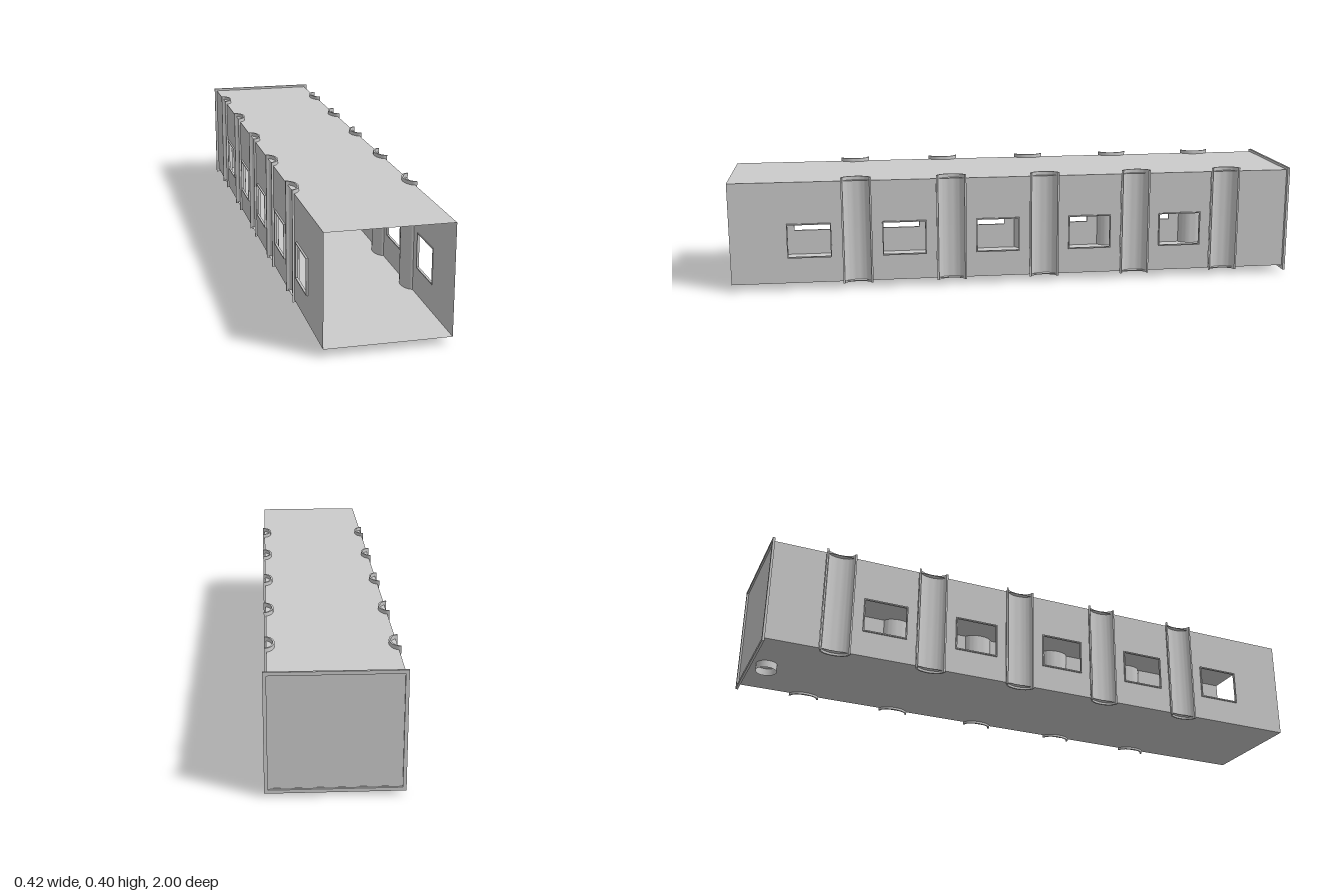
import * as THREE from 'three';
import { toCreasedNormals } from 'three/addons/utils/BufferGeometryUtils.js';

const material = new THREE.MeshStandardMaterial({ color: 0xcccccc, side: THREE.DoubleSide });

const FLOOR = 0.025, ROOF = 0.384, HALF = 0.199, OFFSET = -0.002;
const SPACING = 0.331, BAY_HALF = 0.0525;
const columnZ = [0, 1, 2, 3, 4].map((i) => 0.562 - i * SPACING);
const windowZ = [0, 1, 2, 3, 4].map((i) => 0.728 - i * SPACING);

function add(parent, name, geometry, x = 0, y = 0, z = 0) {
  const mesh = new THREE.Mesh(geometry, material);
  mesh.name = name;
  mesh.position.set(x, y, z);
  parent.add(mesh);
  return mesh;
}

// Rectangle from corner to corner, optionally as a hole path
function rect(a0, b0, a1, b1, Type = THREE.Shape) {
  const p = new Type();
  p.moveTo(a0, b0);
  p.lineTo(a1, b0);
  p.lineTo(a1, b1);
  p.lineTo(a0, b1);
  p.closePath();
  return p;
}

// Upright half-elliptical channel, open towards +x and bulging towards -x
function channelGeometry(depth, halfWidth, thickness, height) {
  const points = [];
  const steps = 20;
  const arc = (d, w, t) => new THREE.Vector2(-d * Math.sin(t), w * Math.cos(t));
  for (let i = 0; i <= steps; i++) points.push(arc(depth, halfWidth, (Math.PI * i) / steps));
  for (let i = steps; i >= 0; i--) {
    points.push(arc(depth - thickness, halfWidth - thickness, (Math.PI * i) / steps));
  }
  const geometry = new THREE.ExtrudeGeometry(new THREE.Shape(points), { depth: height, bevelEnabled: false });
  geometry.rotateX(-Math.PI / 2);
  return toCreasedNormals(geometry, 0.6);
}

export function createModel() {
  const model = new THREE.Group();
  model.name = 'corridor';

  // Floor and roof sheets
  for (const [name, y] of [['floor', FLOOR], ['roof', ROOF]]) {
    add(model, name, new THREE.PlaneGeometry(2 * HALF, 1.995).rotateX(-Math.PI / 2), OFFSET, y, 0.0025);
  }

  const channel = channelGeometry(0.032, BAY_HALF, 0.006, 0.379);
  const frameShape = rect(-0.077, 0.115, 0.077, 0.237);
  frameShape.holes.push(rect(-0.073, 0.119, 0.073, 0.233, THREE.Path));
  const frame = new THREE.ExtrudeGeometry(frameShape, { depth: 0.008, bevelEnabled: false });
  frame.translate(0, 0, -0.004).rotateY(-Math.PI / 2);

  for (const side of [1, -1]) {
    const wall = new THREE.Group();
    wall.name = side > 0 ? 'leftWall' : 'rightWall';
    wall.position.x = OFFSET;
    model.add(wall);

    // Wall panels between the columns, each with its window opening
    for (let i = 0; i <= 5; i++) {
      const z1 = i === 0 ? 1 : columnZ[i - 1] - BAY_HALF;
      const z0 = i === 5 ? -0.995 : columnZ[i] + BAY_HALF;
      const shape = rect(z0, FLOOR, z1, ROOF);
      if (i < 5) {
        shape.holes.push(rect(windowZ[i] - 0.075, 0.117, windowZ[i] + 0.075, 0.235, THREE.Path));
      }
      add(wall, 'wallPanel', new THREE.ShapeGeometry(shape).rotateY(-Math.PI / 2), side * HALF);
    }

    // Window frames and recessed columns
    for (const z of windowZ) add(wall, 'windowFrame', frame, side * (HALF + 0.002), 0, z);
    for (const z of columnZ) {
      const column = add(wall, 'column', channel, side * 0.2055, 0.0175, z);
      if (side < 0) column.rotation.y = Math.PI;
    }
  }

  // End wall with a raised rim
  const rim = rect(-0.21, 0.011, 0.21, 0.393);
  rim.holes.push(rect(-0.199, 0.022, 0.199, 0.382, THREE.Path));
  add(model, 'endRim', new THREE.ExtrudeGeometry(rim, { depth: 0.008, bevelEnabled: false }), 0, 0, -1);
  add(model, 'endPanel', new THREE.BoxGeometry(0.41, 0.372, 0.002), 0, 0.202, -0.993);

  // Short pipe through the floor
  add(model, 'floorPipe', new THREE.CylinderGeometry(0.035, 0.035, 0.037, 32, 1, true), -0.004, 0.0185, -0.94);

  return model;
}
